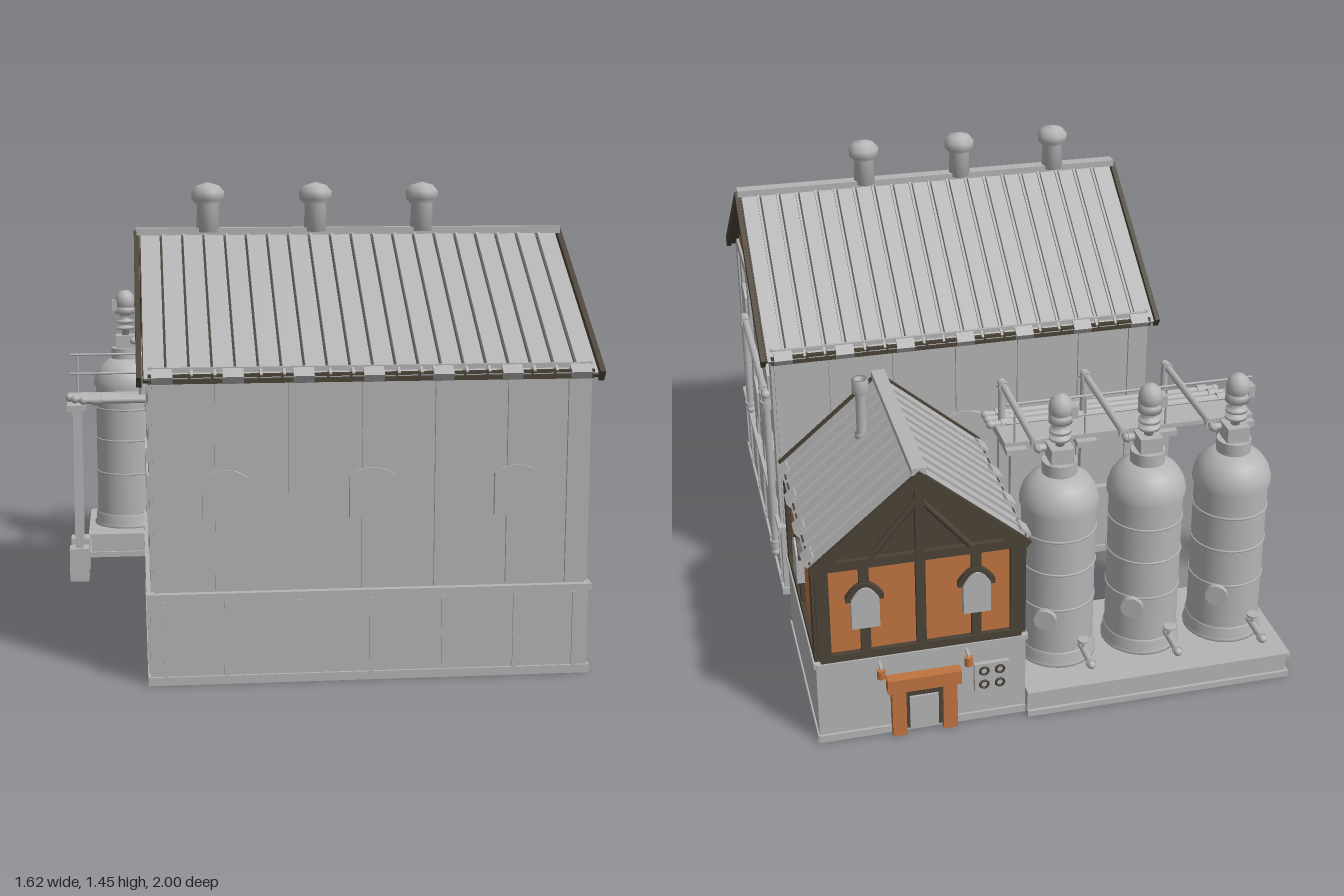
import * as THREE from 'three';

const mat = (name, color) => Object.assign(new THREE.MeshStandardMaterial({ color }), { name });
const GREY = mat('grey metal', 0xb4b4b4);
const ORANGE = mat('orange panel', 0xc07440);
const DARK = mat('dark timber', 0x4a4236);

function add(parent, name, geo, m, x = 0, y = 0, z = 0) {
  const mesh = new THREE.Mesh(geo, m);
  mesh.name = name;
  mesh.position.set(x, y, z);
  parent.add(mesh);
  return mesh;
}
function group(parent, name, x = 0, y = 0, z = 0) {
  const g = new THREE.Group();
  g.name = name;
  g.position.set(x, y, z);
  parent.add(g);
  return g;
}
// box given by its limits
const box = (p, name, m, x0, x1, y0, y1, z0, z1) =>
  add(p, name, new THREE.BoxGeometry(x1 - x0, y1 - y0, z1 - z0), m, (x0 + x1) / 2, (y0 + y1) / 2, (z0 + z1) / 2);
const lathe = (p, name, pts, x, y, z, seg = 24) =>
  add(p, name, new THREE.LatheGeometry(pts.map(([r, h]) => new THREE.Vector2(r, h)), seg), GREY, x, y, z);

// straight rod between two points
function rod(p, name, a, b, r, m = GREY) {
  const A = new THREE.Vector3(...a), B = new THREE.Vector3(...b), d = B.clone().sub(A);
  const mesh = add(p, name, new THREE.CylinderGeometry(r, r, d.length(), 12), m);
  mesh.position.copy(A.add(B).multiplyScalar(0.5));
  mesh.quaternion.setFromUnitVectors(new THREE.Vector3(0, 1, 0), d.normalize());
}
// pipe run with flanged ends and round elbows
function pipe(p, name, pts, r) {
  const g = group(p, name);
  pts.forEach((a, i) => {
    add(g, 'elbow', new THREE.SphereGeometry(r * 1.25, 12, 8), GREY, ...a);
    if (!i) return;
    const b = pts[i - 1];
    rod(g, 'pipe', b, a, r);
    const mix = t => a.map((v, k) => v + (b[k] - v) * t);
    for (const t of [0.06, 0.94]) rod(g, 'flange', mix(t - 0.02), mix(t + 0.02), r * 1.5);
  });
}

// one wall face: local x along the wall, z outward
function face(parent, name, x, z, turn) {
  const g = group(parent, name, x, 0, z);
  g.rotation.y = turn;
  return g;
}
function archShape(w, h, rise) {
  const s = new THREE.Shape();
  s.moveTo(-w / 2, 0); s.lineTo(w / 2, 0); s.lineTo(w / 2, h - rise);
  s.quadraticCurveTo(w / 4, h, 0, h);
  s.quadraticCurveTo(-w / 4, h, -w / 2, h - rise);
  return s;
}
const plate = (p, name, shape, m, x, y, z, depth) =>
  add(p, name, new THREE.ExtrudeGeometry(shape, { depth, bevelEnabled: false, curveSegments: 8 }), m, x, y, z);

// ribs, rails and shuttered windows on a main-hall wall
function hallWall(p, half, ribs, windows) {
  ribs.forEach(x => {
    box(p, 'rib', GREY, x - 0.03, x + 0.03, 0.28, 0.93, 0, 0.01);
    box(p, 'plinthRib', GREY, x - 0.006, x + 0.006, 0.02, 0.25, 0.012, 0.018);
  });
  box(p, 'topRail', GREY, -half, half, 0.9, 0.94, 0, 0.01);
  box(p, 'sillRail', GREY, -half - 0.02, half + 0.02, 0.255, 0.275, 0, 0.022);
  box(p, 'footRail', GREY, -half - 0.02, half + 0.02, 0, 0.025, 0, 0.02);
  windows.forEach(([x, y]) => plate(p, 'shutteredWindow', archShape(0.135, 0.15, 0.025), GREY, x, y, 0.001, 0.015));
}

// pitched roof, ridge along local x at the origin
function roof(p, name, len, span, rise, n, caps, turn) {
  const g = p, a = Math.atan2(rise, span), L = Math.hypot(rise, span);
  const top = group(g, name);
  top.rotation.y = turn;
  for (const s of [1, -1]) {
    const slope = group(top, 'roofSlope');
    slope.rotation.x = s * a;
    const b = (nm, m, x0, x1, y0, y1, z0, z1) =>
      s > 0 ? box(slope, nm, m, x0, x1, y0, y1, z0, z1) : box(slope, nm, m, x0, x1, y0, y1, -z1, -z0);
    b('roofDeck', DARK, -len / 2 + 0.01, len / 2 - 0.01, -0.03, -0.012, 0, L - 0.01);
    const step = (len - 0.02) / n;
    for (let i = 0; i < n; i++) {
      const x = -len / 2 + 0.01 + i * step;
      b('roofSheet', GREY, x + 0.003, x + step - 0.004, -0.012, -0.004, 0, L);
      if (i) b('seam', GREY, x + 0.003, x + 0.011, -0.006, 0.004, 0, L - 0.004);
    }
    for (const e of [-1, 1]) b('bargeBoard', DARK, e * len / 2 - 0.008, e * len / 2 + 0.008, -0.036, 0, 0, L);
    for (let i = 0; i < caps; i++) {
      const x = (i / (caps - 1) - 0.5) * (len - 0.13);
      b('eaveClip', GREY, x - 0.03, x + 0.03, -0.02, 0.006, L - 0.03, L + 0.008);
    }
  }
  box(top, 'ridgeCap', GREY, -len / 2, len / 2, -0.014, 0.008, -0.022, 0.022);
}
function gable(p, half, y0, y1, m) {
  const s = new THREE.Shape();
  s.moveTo(-half, y0); s.lineTo(half, y0); s.lineTo(0, y1);
  plate(p, 'gablePanel', s, m, 0, 0, -0.01, 0.012);
}

function mainHall(root) {
  const g = group(root, 'mainHall', 0.12, 0, 0.43);
  box(g, 'hallBody', GREY, -0.64, 0.64, 0.02, 0.93, -0.53, 0.53);
  box(g, 'plinth', GREY, -0.652, 0.652, 0, 0.265, -0.542, 0.542);
  const longRibs = [-0.61, -0.43, -0.215, 0, 0.215, 0.43, 0.61];
  const longWindows = [-0.43, 0, 0.43].map(x => [x, 0.49]);
  hallWall(face(g, 'frontWall', 0, 0.53, 0), 0.64, longRibs, longWindows);
  hallWall(face(g, 'backWall', 0, -0.53, Math.PI), 0.64, longRibs, longWindows);
  const endRibs = [-0.5, -0.37, -0.16, 0.06, 0.28, 0.5];
  const ends = [
    ['leftWall', 1, [[-0.28, 0.68], [0.38, 0.68], [-0.28, 0.4], [-0.06, 0.4], [0.15, 0.4], [0.38, 0.4]]],
    ['rightWall', -1, [[-0.22, 0.45], [0.22, 0.45]]],
  ];
  for (const [name, s, windows] of ends) {
    const f = face(g, name, s * 0.64, 0, s * Math.PI / 2);
    hallWall(f, 0.53, endRibs, windows);
    gable(f, 0.53, 0.93, 1.275, ORANGE);
    box(f, 'gablePost', DARK, -0.014, 0.014, 0.96, 1.25, 0, 0.014);
  }
  for (const s of [-1, 1]) box(g, 'eaveBeam', DARK, -0.65, 0.65, 0.895, 0.922, s * 0.545 - 0.013, s * 0.545 + 0.013);
  roof(group(g, 'hallRoof', 0, 1.3, 0), 'roof', 1.35, 0.562, 0.385, 20, 7, 0);
  for (const x of [-0.45, -0.11, 0.23])
    lathe(g, 'roofVent', [[0, 0], [0.037, 0], [0.034, 0.085], [0.05, 0.1], [0.052, 0.125], [0.035, 0.145], [0, 0.155]], x, 1.295, 0);
  // service pipe on the end wall
  pipe(g, 'wallPipe', [[0.665, 0.36, 0.19], [0.665, 0.74, 0.19], [0.665, 0.74, -0.45], [0.665, 0.12, -0.45]], 0.013);
  lamp(g, 0, 0.41, -0.57, 1);
}

// small wall lamp; bracket reaches toward +z
function lamp(p, x, y, z) {
  const g = group(p, 'wallLamp', x, y, z);
  add(g, 'lampBody', new THREE.CylinderGeometry(0.013, 0.013, 0.03, 10), ORANGE, 0, -0.01, 0);
  box(g, 'lampBracket', GREY, -0.004, 0.004, 0.01, 0.018, -0.01, 0.045);
}

// timber-framed upper wall with hooded windows
function timberWall(p, half, posts, windows) {
  posts.forEach(x => box(p, 'post', DARK, x - 0.015, x + 0.015, 0.3, 0.64, 0, 0.014));
  for (const s of [-1, 1]) box(p, 'cornerPost', DARK, s * (half - 0.014) - 0.02, s * (half - 0.014) + 0.02, 0.3, 0.64, -0.02, 0.016);
  box(p, 'lowerBeam', DARK, -half, half, 0.29, 0.315, 0, 0.017);
  box(p, 'upperBeam', DARK, -half, half, 0.61, 0.64, 0, 0.018);
  box(p, 'baseCap', GREY, -half - 0.015, half + 0.015, 0.272, 0.29, 0, 0.022);
  box(p, 'baseFoot', GREY, -half - 0.015, half + 0.015, 0, 0.025, 0, 0.02);
  windows.forEach(x => {
    plate(p, 'windowHood', archShape(0.115, 0.06, 0.045), DARK, x, 0.498, 0.002, 0.018);
    plate(p, 'windowPane', archShape(0.085, 0.14, 0.04), GREY, x, 0.405, 0.002, 0.024);
  });
}

function smallHouse(root) {
  const g = group(root, 'smallHouse', 0.45, 0, -0.63);
  box(g, 'houseBase', GREY, -0.325, 0.325, 0, 0.28, -0.312, 0.312);
  box(g, 'housePanels', ORANGE, -0.31, 0.31, 0.28, 0.63, -0.3, 0.3);
  for (const s of [-1, 1]) {
    timberWall(face(g, 'sideWall', s * 0.31, 0, s * Math.PI / 2), 0.3, [0], [0]);
    const f = face(g, 'gableWall', 0, s * 0.3, s > 0 ? 0 : Math.PI);
    timberWall(f, 0.31, [-0.17, 0, 0.17], [-0.17, 0.17]);
    gable(f, 0.31, 0.62, 0.885, DARK);
    box(f, 'gablePost', DARK, -0.014, 0.014, 0.63, 0.88, 0, 0.02);
    for (const e of [-1, 1]) rod(f, 'gableBrace', [e * 0.15, 0.64, 0.01], [0, 0.82, 0.01], 0.01, DARK);
  }
  roof(group(g, 'houseRoof', 0, 0.92, 0), 'roof', 0.655, 0.335, 0.285, 10, 4, Math.PI / 2);
  lathe(g, 'chimney', [[0, 0], [0.022, 0], [0.022, 0.015], [0.016, 0.02], [0.016, 0.15], [0.026, 0.155], [0.026, 0.2], [0.014, 0.2], [0.012, 0.17], [0, 0.17]], 0.095, 0.82, 0.095);
  // doorway with a heavy frame
  const d = face(g, 'doorway', 0, -0.312, Math.PI);
  box(d, 'doorLeaf', DARK, -0.06, 0.06, 0.01, 0.15, 0, 0.012);
  box(d, 'doorPanel', GREY, -0.045, 0.045, 0.01, 0.13, 0.012, 0.018);
  for (const s of [-1, 1]) {
    box(d, 'doorJamb', ORANGE, s * 0.08 - 0.022, s * 0.08 + 0.022, 0, 0.18, 0, 0.03);
    lamp(g, s * 0.135, 0.26, -0.352);
  }
  box(d, 'doorLintel', ORANGE, -0.115, 0.115, 0.165, 0.212, 0, 0.036);
  // gauge board beside the door
  box(d, 'gaugeBoard', GREY, 0.16, 0.27, 0.11, 0.21, 0, 0.014);
  for (const x of [0.19, 0.24]) for (const y of [0.135, 0.185]) {
    add(d, 'gauge', new THREE.TorusGeometry(0.013, 0.004, 6, 16), DARK, x, y, 0.016);
  }
}

function tank(root, x) {
  const g = group(root, 'tank', x, 0, -0.75);
  lathe(g, 'tankBase', [[0, 0.085], [0.128, 0.085], [0.128, 0.1], [0.122, 0.1], [0.122, 0.135], [0.116, 0.14]], 0, 0, 0, 32);
  add(g, 'tankBody', new THREE.CylinderGeometry(0.117, 0.117, 0.53, 32), GREY, 0, 0.385, 0);
  lathe(g, 'tankDome', [[0.124, 0.635], [0.124, 0.655], [0.115, 0.685], [0.095, 0.715], [0.062, 0.738], [0, 0.75]], 0, 0, 0, 32);
  for (const y of [0.3, 0.43, 0.55]) {
    const t = add(g, 'tankBand', new THREE.TorusGeometry(0.117, 0.004, 6, 32), GREY, 0, y, 0);
    t.rotation.x = Math.PI / 2;
  }
  // agitator stack
  add(g, 'neck', new THREE.CylinderGeometry(0.055, 0.055, 0.05, 20), GREY, 0, 0.755, 0);
  box(g, 'gearBox', GREY, -0.036, 0.036, 0.77, 0.83, -0.036, 0.036);
  lathe(g, 'motor', [[0, 0.83], [0.014, 0.83], [0.014, 0.85], [0.034, 0.852], [0.034, 0.862], [0.014, 0.864], [0.014, 0.875], [0.034, 0.877],
    [0.034, 0.887], [0.018, 0.889], [0.018, 0.91], [0.037, 0.912], [0.037, 0.932], [0.03, 0.934], [0.03, 0.942], [0.037, 0.944],
    [0.037, 0.965], [0.032, 0.985], [0.018, 1], [0, 1.004]], 0, 0, 0, 20);
  box(g, 'terminalBox', GREY, -0.05, -0.03, 0.925, 0.965, -0.02, 0.02);
  // manhole, drain and outlet
  rod(g, 'manhole', [0.06, 0.27, -0.09], [0.072, 0.27, -0.115], 0.036);
  pipe(g, 'drain', [[-0.05, 0.16, -0.09], [-0.05, 0.16, -0.225]], 0.011);
  rod(g, 'drainValve', [-0.05, 0.15, -0.14], [-0.05, 0.195, -0.14], 0.006);
  rod(g, 'valveWheel', [-0.05, 0.192, -0.14], [-0.05, 0.199, -0.14], 0.02);
  pipe(g, 'outletPipe', [[0.03, 0.81, 0.03], [0.06, 0.81, 0.03], [0.06, 0.81, 0.49], [0.06, 0.66, 0.49]], 0.012);
}

function pipeRack(root) {
  const g = group(root, 'pipeRack');
  for (const x of [-0.775, -0.5, -0.22, 0.02]) {
    for (const z of [-0.232, -0.39]) {
      box(g, 'pedestal', GREY, x - 0.034, x + 0.034, 0, 0.12, z - 0.034, z + 0.034);
      box(g, 'column', GREY, x - 0.014, x + 0.014, 0.12, 0.64, z - 0.014, z + 0.014);
      if (z < -0.3) rod(g, 'railPost', [x, 0.65, -0.4], [x, 0.8, -0.4], 0.004);
    }
    box(g, 'crossBeam', GREY, x - 0.034, x + 0.034, 0.625, 0.645, -0.43, -0.19);
  }
  box(g, 'walkway', GREY, -0.81, 0.055, 0.645, 0.66, -0.405, -0.275);
  for (const y of [0.73, 0.8]) rod(g, 'handRail', [-0.8, y, -0.4], [0.05, y, -0.4], 0.004);
  for (const [z, x] of [[-0.268, -0.8], [-0.232, -0.78], [-0.197, -0.75]])
    pipe(g, 'headerPipe', [[x, 0.662, z], [0.07, 0.662, z]], 0.012);
}

export function createModel() {
  const root = new THREE.Group();
  root.name = 'plant';
  mainHall(root);
  smallHouse(root);
  // tank pad
  box(root, 'padFoot', GREY, -0.75, 0.125, 0, 0.02, -0.98, -0.54);
  box(root, 'pad', GREY, -0.74, 0.125, 0.02, 0.075, -0.97, -0.55);
  box(root, 'padTop', GREY, -0.75, 0.125, 0.075, 0.09, -0.98, -0.54);
  for (const x of [-0.6, -0.315, -0.03]) tank(root, x);
  pipeRack(root);
  return root;
}
